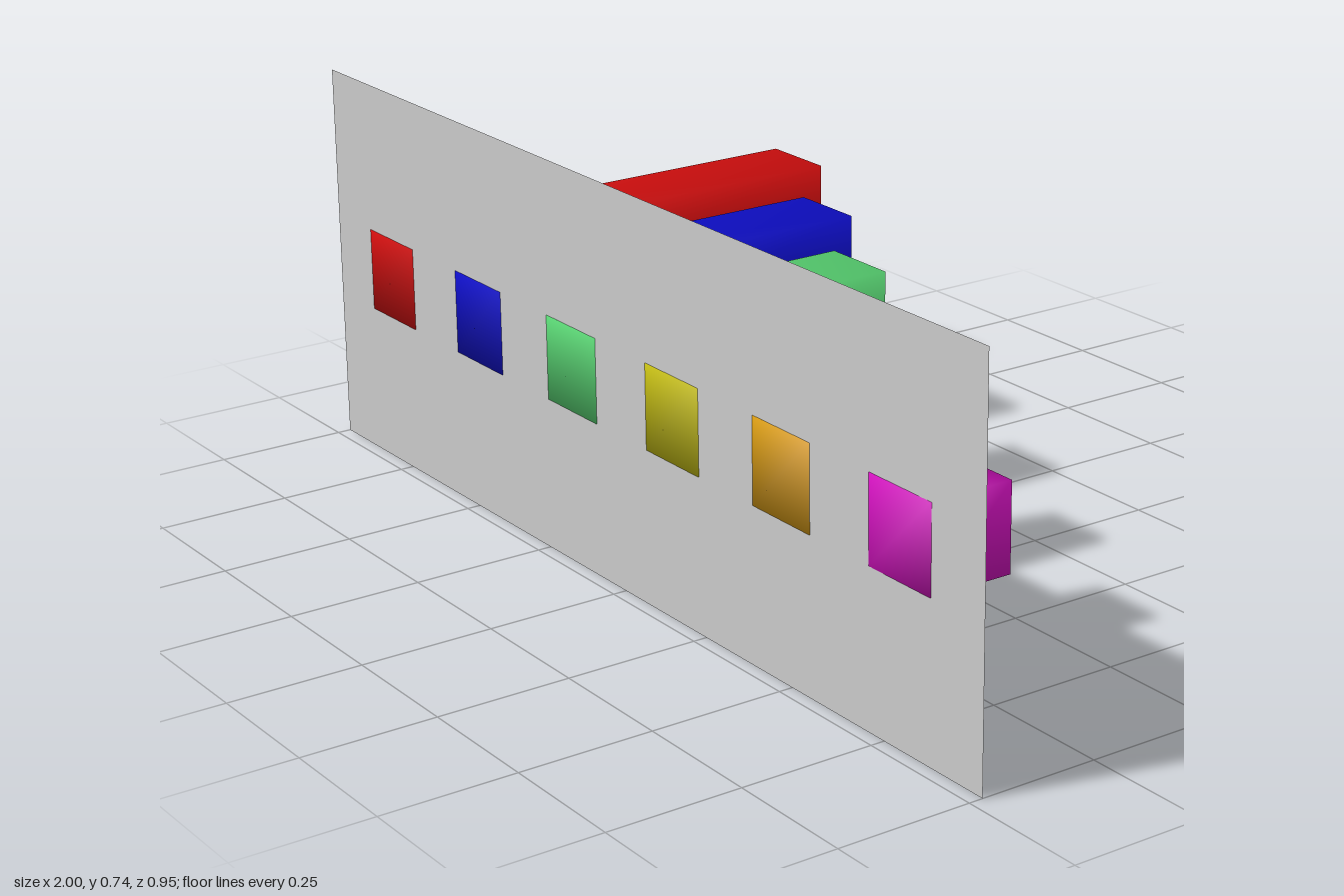
import * as THREE from 'three';
import { mergeVertices } from 'three/addons/utils/BufferGeometryUtils.js';

const UNIT = 0.1583;   // bar thickness, and the step in bar length
const FRONT = 0.475;   // z of the shared front face
const BAR_Y = 0.367;

// Box with shared corners, so the shading runs smoothly over its edges
function smoothBox(w, h, d) {
  const box = new THREE.BoxGeometry(w, h, d);
  box.deleteAttribute('normal');
  box.deleteAttribute('uv');
  const geometry = mergeVertices(box);
  geometry.computeVertexNormals();
  return geometry;
}

export function createModel() {
  const model = new THREE.Group();
  model.name = 'barDisplay';

  // Thin upright panel, just behind the bar faces so they stay visible
  const panel = new THREE.Mesh(
    new THREE.PlaneGeometry(2, 0.735),
    new THREE.MeshStandardMaterial({ color: 0xcccccc, side: THREE.DoubleSide })
  );
  panel.name = 'panel';
  panel.position.set(0, 0.3675, FRONT - 0.001);
  model.add(panel);

  // Bars reaching backward, each one step shorter than the last
  const bars = [
    ['redBar', 0xe01010],
    ['blueBar', 0x1010d8],
    ['greenBar', 0x60e47c],
    ['yellowBar', 0xd0c814],
    ['orangeBar', 0xe4a414],
    ['magentaBar', 0xd812c4],
  ];
  bars.forEach(([name, color], i) => {
    const length = UNIT * (bars.length - i);
    const bar = new THREE.Mesh(
      smoothBox(UNIT, UNIT, length),
      new THREE.MeshStandardMaterial({ color })
    );
    bar.name = name;
    bar.position.set(-0.795 + i * 2 * UNIT, BAR_Y, FRONT - length / 2);
    model.add(bar);
  });

  return model;
}
